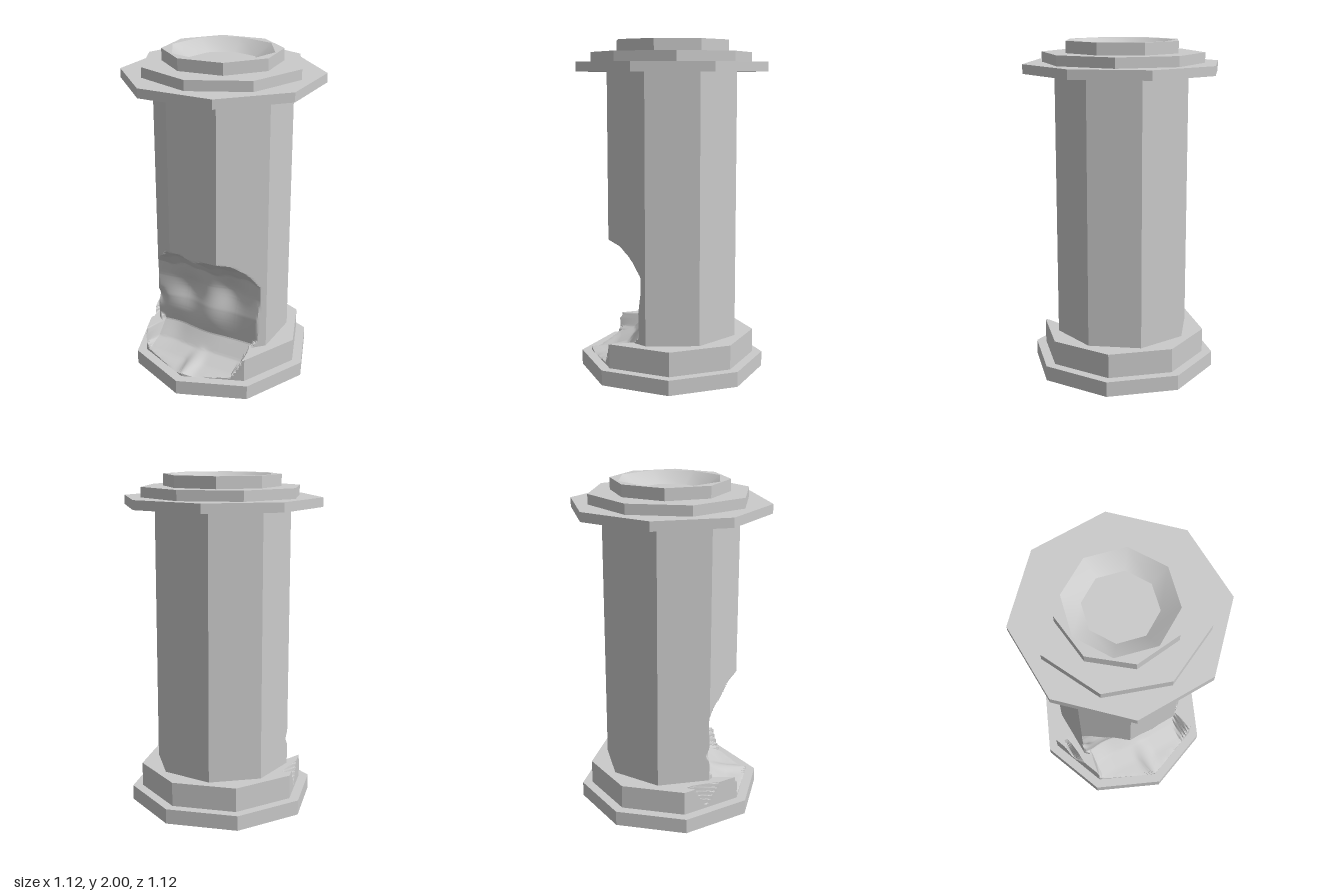
import * as THREE from 'three';
import { toCreasedNormals } from 'three/addons/utils/BufferGeometryUtils.js';

const clamp = THREE.MathUtils.clamp;
const TWIST = 20.1; // degrees the shaft and cap are turned against the base

// Depth (z) of the broken front face, by height
const WALL = [[0.09, 0.47], [0.11, 0.36], [0.15, 0.26], [0.24, 0.18], [0.42, 0.185],
  [0.55, 0.17], [0.65, 0.17], [0.72, 0.22], [0.78, 0.30], [0.83, 0.385], [0.87, 0.46]];

function wallDepth(y) {
  if (y <= WALL[0][0]) return WALL[0][1];
  for (let i = 1; i < WALL.length; i++) {
    const [y0, z0] = WALL[i - 1], [y1, z1] = WALL[i];
    if (y <= y1) return z0 + (z1 - z0) * (y - y0) / (y1 - y0);
  }
  return 9;
}

const dent = (x, y, cx, cy, s) => Math.exp(-((x - cx) ** 2 + (y - cy) ** 2) / (s * s));

// Largest z the stone reaches at (x, y) after the damage
function brokenDepth(x, y) {
  const ragged = 0.012 * Math.sin(x * 17 + 1) + 0.006 * Math.sin(x * 41 + y * 9);
  let z = wallDepth(y + (y > 0.6 ? ragged : 0));
  // hollows and a low central hump
  z -= 0.045 * dent(x, y, -0.15, 0.48, 0.11) + 0.045 * dent(x, y, 0.14, 0.54, 0.11);
  z -= 0.02 * dent(x, y, -0.22, 0.2, 0.1);
  z -= 0.03 * dent(x, y, -0.37, 0.4, 0.04);
  z += 0.02 * dent(x, y, 0.02, 0.33, 0.12);
  // stub left at the plinth's front corner
  z += 0.2 * dent(x, y, 0, 0.09, 0.035);
  // sides of the gap in the plinth
  const low = clamp((0.27 - y) / 0.04, 0, 1);
  const right = 0.27 + 0.35 * Math.max(0, y - 0.12), left = 0.33;
  z += low * 6 * Math.max(0, x - right, -x - left);
  // V notch in the plinth's left face
  const v = 0.13 + 4 * Math.abs(x + 0.44) - Math.min(y, 0.235);
  return Math.min(z, 0.03 + 6 * Math.max(0, v));
}

// Lofts octagon loops [radius, y, turn in degrees]; sub = points per side
function loft(rows, sub = 1, broken = false) {
  const pos = [], index = [], n = 8 * sub;
  for (const [r, y, turn] of rows) {
    for (let j = 0; j <= n; j++) {
      const k = Math.floor(j / sub), t = (j % sub) / sub;
      const a = THREE.MathUtils.degToRad(turn + 45 * k), b = a + Math.PI / 4;
      const x = r * (Math.cos(a) * (1 - t) + Math.cos(b) * t);
      let z = r * (Math.sin(a) * (1 - t) + Math.sin(b) * t);
      if (broken) z = Math.min(z, brokenDepth(x, y));
      pos.push(x, y, z);
    }
  }
  for (let i = 0; i < rows.length - 1; i++) {
    for (let j = 0; j < n; j++) {
      const p = i * (n + 1) + j, q = p + n + 1;
      index.push(p, q, q + 1, p, q + 1, p + 1);
    }
  }
  const g = new THREE.BufferGeometry();
  g.setAttribute('position', new THREE.Float32BufferAttribute(pos, 3));
  g.setIndex(index);
  return toCreasedNormals(g, 0.5);
}

// Closed octagonal slab
const slab = (r, y0, y1, turn) =>
  loft([[0, y0, turn], [r, y0, turn], [r, y1, turn], [0, y1, turn]]);

// Evenly spaced loops between two loops
function steps(from, to, count) {
  return Array.from({ length: count + 1 }, (_, i) =>
    from.map((v, k) => v + (to[k] - v) * i / count));
}

export function createModel() {
  const group = new THREE.Group();
  const stone = new THREE.MeshStandardMaterial({ color: 0xcccccc });
  const add = (name, geometry) => {
    const mesh = new THREE.Mesh(geometry, stone);
    mesh.name = name;
    group.add(mesh);
  };

  add('basePlate', slab(0.56, 0, 0.09, 0));

  // Plinth with its front broken away; the top is ringed so it follows the break
  add('plinth', loft([
    ...steps([0.5, 0.09, 0], [0.5, 0.235, 0], 28),
    ...steps([0.5, 0.235, 0], [0, 0.235, 0], 24),
  ], 24, true));

  // Shaft: fine loops over the damage, one plain run above it
  add('shaft', loft([
    ...steps([0.41, 0.235, TWIST], [0.41, 0.9, TWIST], 80),
    [0.41, 1.815, TWIST],
  ], 24, true));

  // Stepped cap
  add('capLower', slab(0.596, 1.815, 1.87, TWIST));
  add('capMiddle', slab(0.482, 1.87, 1.93, -4.8));

  // Top ring with a sunken bowl
  add('capBowl', loft([
    [0.35, 1.93, 14.8], [0.35, 2, 14.8],
    [0.31, 2, -10.2], [0.206, 1.932, -10.8], [0, 1.932, -10.8],
  ]));

  return group;
}
